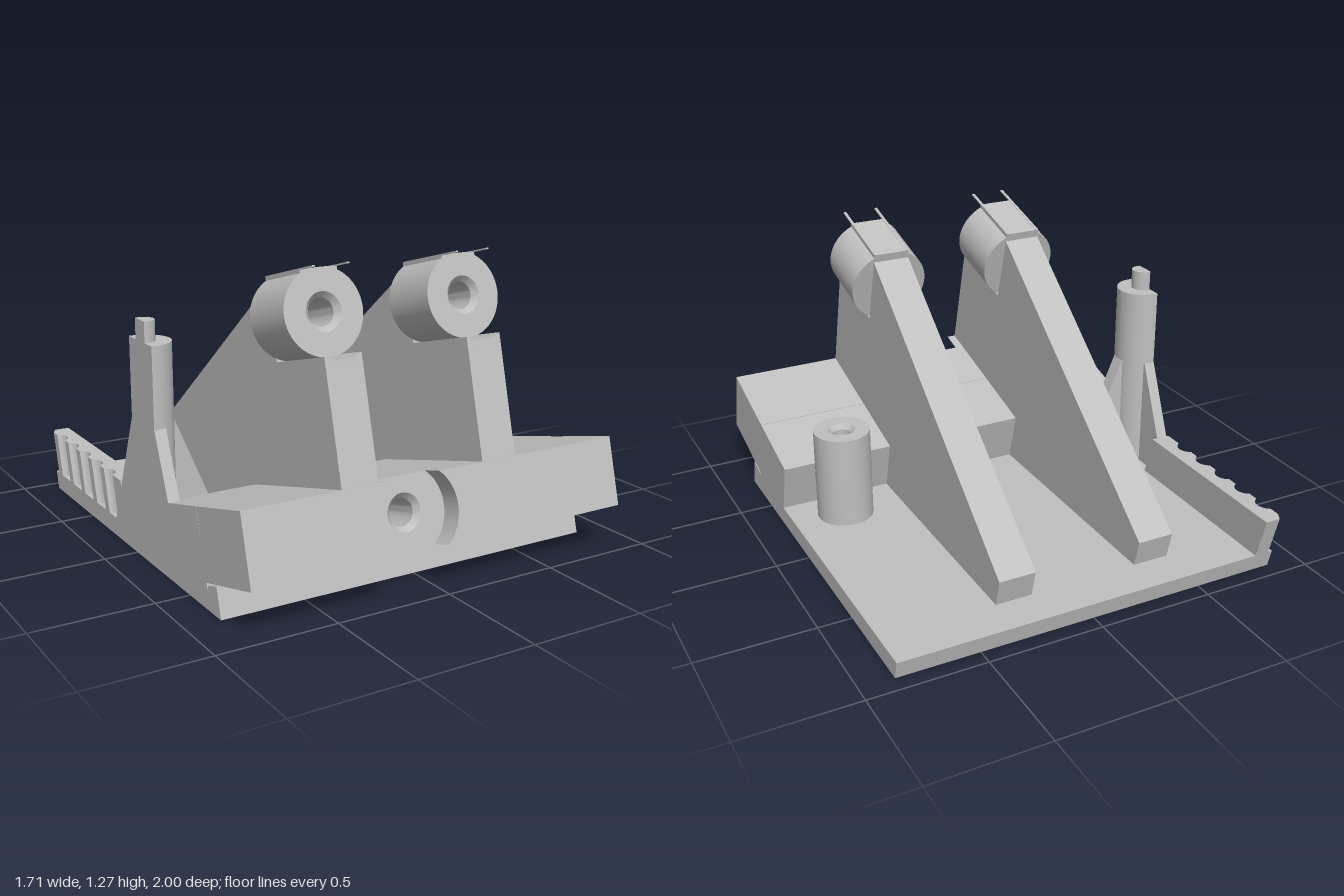
import * as THREE from 'three';
import { toCreasedNormals } from 'three/addons/utils/BufferGeometryUtils.js';

const TILT = Math.PI / 12;
const SLANT = Math.tan(TILT);
const HALF = 0.855; // half width of the base
const PI = Math.PI;

const grey = new THREE.MeshStandardMaterial({ color: 0xc0c0c0, side: THREE.DoubleSide });
grey.name = 'light grey';

function mesh(name, geometry) {
  const m = new THREE.Mesh(toCreasedNormals(geometry, 0.5), grey);
  m.name = name;
  return m;
}

function poly(points) {
  return new THREE.Shape(points.map(([a, b]) => new THREE.Vector2(a, b)));
}

function extrude(shape, depth) {
  return new THREE.ExtrudeGeometry(shape, { depth, bevelEnabled: false, curveSegments: 32 });
}

// side profile given as [z, y], running across x0..x1
function across(points, x0, x1) {
  return extrude(poly(points), x1 - x0).rotateY(-PI / 2).translate(x1, 0, 0);
}

// plan outline given as (x, -z), rising from y0 to y1
function upright(shape, y0, y1) {
  return extrude(shape, y1 - y0).rotateX(-PI / 2).translate(0, y0, 0);
}

// group whose local z points along the tilted bore axis
function tilted(name, x, y, z) {
  const g = new THREE.Group();
  g.name = name;
  g.position.set(x, y, z);
  g.rotation.x = -TILT;
  return g;
}

function addHole(shape, x, y, r) {
  const hole = new THREE.Path();
  hole.absarc(x, y, r, 0, PI * 2, true);
  shape.holes.push(hole);
  return shape;
}

// countersunk bore lining, opening at local z = 0
function bore(depth) {
  const pts = [[0.076, 0], [0.055, -0.025], [0.055, -depth]];
  return new THREE.LatheGeometry(pts.map(([r, y]) => new THREE.Vector2(r, y)), 40).rotateX(PI / 2);
}

function circleCutAt(x, cx, z, r) {
  const a = Math.acos((x - cx) / r);
  const s = new THREE.Shape();
  s.absarc(cx, -z, r, -a, a, false);
  return s;
}

function createBlock() {
  const block = tilted('frontBlock', 0, 0.3375, 0.96);
  const h = 0.143, cx = -0.125, r = 0.185, recess = 0.095;
  const b = Math.asin(h / r), w = r * Math.cos(b);

  // front layer on either side of the round recess
  const left = new THREE.Shape();
  left.moveTo(-HALF, -h);
  left.lineTo(cx - w, -h);
  left.absarc(cx, 0, r, PI + b, PI - b, true);
  left.lineTo(-HALF, h);
  const right = new THREE.Shape();
  right.moveTo(HALF, h);
  right.lineTo(cx + w, h);
  right.absarc(cx, 0, r, b, -b, true);
  right.lineTo(HALF, -h);
  for (const s of [left, right]) {
    block.add(mesh('blockFace', extrude(s, recess).translate(0, 0, -recess)));
  }

  // layer behind the recess with the bore
  const wall = addHole(poly([[-HALF, -h], [HALF, -h], [HALF, h], [-HALF, h]]), cx, 0, 0.076);
  block.add(mesh('blockWall', extrude(wall, 0.27).translate(0, 0, -recess - 0.27)));
  block.add(mesh('blockBore', bore(0.27).translate(cx, 0, -recess)));
  return block;
}

function createSupport(x) {
  const support = new THREE.Group();
  support.name = 'support';

  // sloping rib
  support.add(mesh('rib', across([
    [0.921, 0.476], [0.808, 0.911], [0.456, 0.817], [0.37, 1.136],
    [-0.81, 0.2], [-0.78, 0.08], [0.32, 0.08], [0.26, 0.3],
  ], x - 0.08, x + 0.08)));

  const head = tilted('head', x, 1.08, 0.665);
  const len = 0.27, front = 0.094;

  // round boss with a flat top
  const c = Math.acos(0.08 / 0.17);
  const boss = new THREE.Shape();
  boss.moveTo(0.08, 0.166);
  boss.lineTo(-0.08, 0.166);
  boss.absarc(0, 0, 0.17, PI - c, 2 * PI + c, false);
  addHole(boss, 0, 0, 0.076);
  head.add(mesh('boss', extrude(boss, len).translate(0, 0, -len)));
  head.add(mesh('bossBore', bore(len)));

  // grooved cradle under the boss
  const r = 0.183, g = Math.acos(0.08 / r);
  const cradle = new THREE.Shape();
  cradle.moveTo(-0.08, -0.2);
  cradle.lineTo(0.08, -0.2);
  cradle.absarc(0, 0, r, -g, g - PI, true);
  head.add(mesh('cradle', extrude(cradle, len + front).translate(0, 0, -len)));

  // thin prongs reaching past the boss
  for (const side of [-1, 1]) {
    const prong = new THREE.BoxGeometry(0.012, 0.006, len + front);
    head.add(mesh('prong', prong.translate(side * 0.074, 0.165, (front - len) / 2)));
  }
  support.add(head);
  return support;
}

function createRail() {
  // outline at the base, with round flutes along the outer side
  const back = 0.95, start = 0.21, r = 0.055, cx = -0.88;
  const a = Math.acos((-HALF - cx) / r);
  const s = new THREE.Shape();
  s.moveTo(-HALF, start - 0.1);
  s.lineTo(-0.77, start - 0.1);
  s.lineTo(-0.77, back);
  s.lineTo(-0.835, back);
  s.lineTo(-HALF, back - 0.035);
  for (let k = 4; k >= 0; k--) {
    s.absarc(cx, 0.245 + 0.143 * k, r, a, -a, true);
  }
  const shear = new THREE.Matrix4().set(
    1, 0, 0, 0,
    0, 1, 0, 0,
    0, -SLANT, 1, 0.08 * SLANT,
    0, 0, 0, 1);
  return mesh('flutedRail', upright(s, 0.08, 0.265).applyMatrix4(shear));
}

function createPinPost() {
  const post = new THREE.Group();
  post.name = 'pinPost';
  post.add(mesh('column', upright(circleCutAt(-HALF, -0.84, 0.1, 0.11), 0.08, 0.915)));
  post.add(mesh('pin', upright(circleCutAt(-HALF, -0.84, 0.1, 0.046), 0.915, 1.0)));
  // tapered gussets: front and back, then inward
  post.add(mesh('sideGussets', across(
    [[0.42, 0.08], [0.21, 0.58], [-0.01, 0.58], [-0.22, 0.08]], -HALF, -0.805)));
  const inner = extrude(poly([[-0.8, 0.08], [-0.52, 0.08], [-0.73, 0.58], [-0.8, 0.58]]), 0.065);
  post.add(mesh('innerGusset', inner.translate(0, 0, 0.068)));
  return post;
}

export function createModel() {
  const model = new THREE.Group();
  model.name = 'bracket';

  // base plate and the rear of the front block
  model.add(mesh('basePlate', across([
    [0.76, 0], [0.728, 0.12], [0.66, 0.1], [0.654, 0.08], [-0.95, 0.08], [-0.93, 0],
  ], -HALF, HALF)));
  model.add(mesh('blockRear', across([
    [0.568, 0.381], [0.26, 0.3], [0.32, 0.08], [0.654, 0.08], [0.645, 0.106],
  ], -HALF, HALF)));
  model.add(createBlock());

  for (const x of [-0.36, 0.28]) model.add(createSupport(x));
  model.add(createRail(), createPinPost());

  // hollow screw post
  const profile = [[0.122, 0.07], [0.122, 0.487], [0.058, 0.487], [0.04, 0.465], [0.04, 0.08], [0, 0.08]];
  const screwPost = new THREE.LatheGeometry(profile.map(([r, y]) => new THREE.Vector2(r, y)), 48);
  model.add(mesh('screwPost', screwPost.translate(0.62, 0, 0.165)));
  return model;
}
